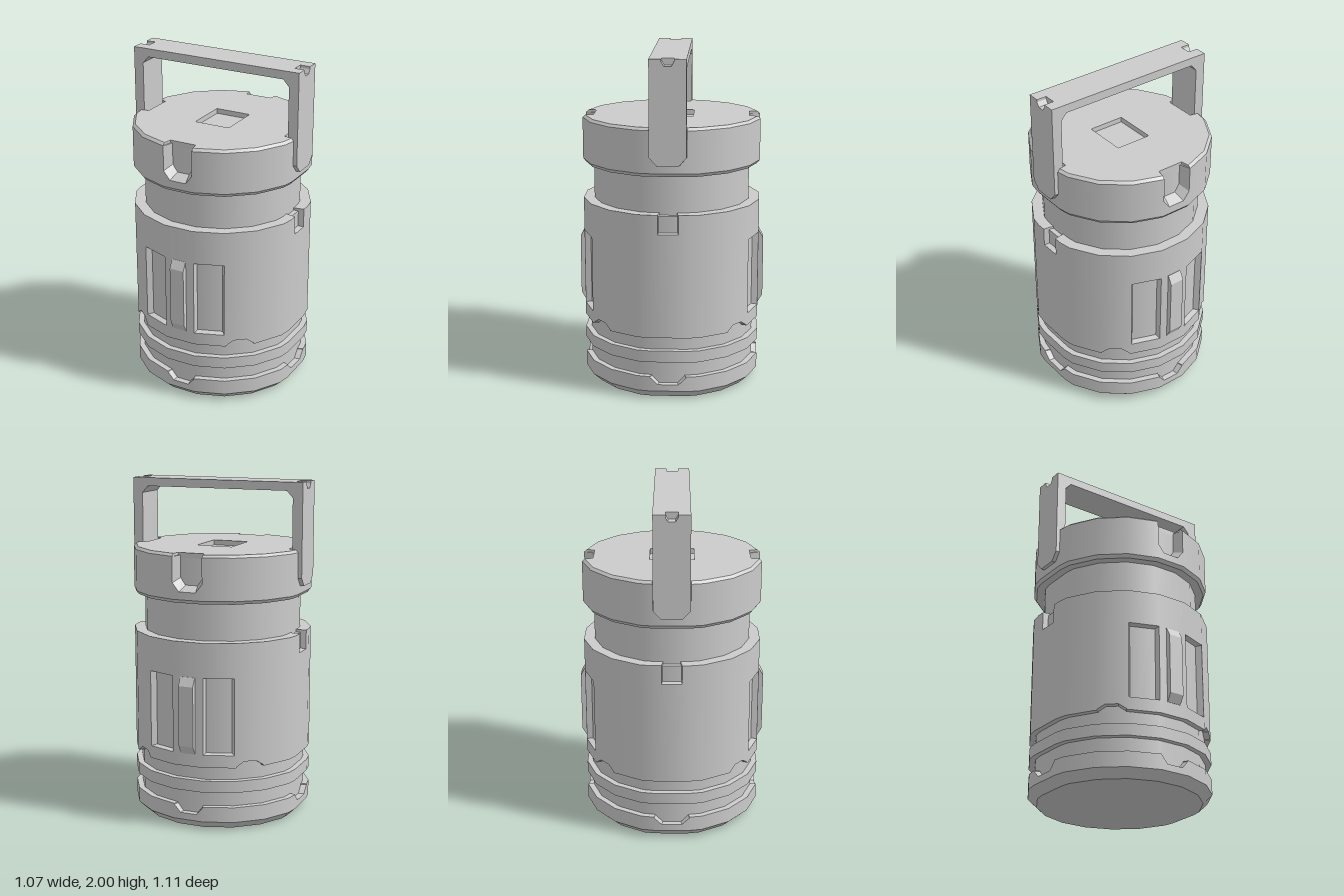
import * as THREE from 'three';
import { mergeGeometries } from 'three/addons/utils/BufferGeometryUtils.js';

const grey = new THREE.MeshStandardMaterial({ color: 0xcccccc });

// Unit cross-section: 18-sided, with the two side corners cut flat (20 facets).
// Facet 0 is the front, 5 the left side, 10 the back, 15 the right side.
const SECTION = [];
for (let k = 0; k < 18; k++) {
  const a = THREE.MathUtils.degToRad(-10 + 20 * k);
  const x = Math.sin(a), z = Math.cos(a);
  if (Math.abs(x) > 0.99) {
    const s = Math.sign(x);
    SECTION.push([s * 0.964, s * 0.206], [s * 0.964, -s * 0.206]);
  } else SECTION.push([x, z]);
}
const N = SECTION.length;

const shapeOf = pts => new THREE.Shape(pts.map(p => new THREE.Vector2(...p)));

// Cuts in a facet: u runs from -1 to 1 across it; the floor is reduced by k around (0, cy)
const notch = (edge, mid, floor, w, wFloor, k = 0.85) => ({
  pts: [[-w, edge], [-w, mid], [-wFloor, floor], [wFloor, floor], [w, mid], [w, edge]], cy: edge, k,
});
const windowCut = (y0, y1, w, k) => ({
  hole: true, pts: [[-w, y0], [w, y0], [w, y1], [-w, y1]], cy: (y0 + y1) / 2, k,
});

// One facet of a band, extruded outward and mitred to its neighbours
function panel(i, y0, y1, rIn, r0, r1, cut) {
  let outline = [[-1, y0], [1, y0], [1, y1], [-1, y1]];
  if (cut && !cut.hole) {
    outline = cut.cy === y0
      ? [[-1, y0], ...cut.pts, [1, y0], [1, y1], [-1, y1]]
      : [[-1, y0], [1, y0], [1, y1], ...[...cut.pts].reverse(), [-1, y1]];
  }
  const shape = shapeOf(outline);
  if (cut && cut.hole) shape.holes.push(shapeOf(cut.pts));
  const geo = new THREE.ExtrudeGeometry(shape, { depth: 1, bevelEnabled: false });
  const pos = geo.attributes.position;
  const outer = Array.from({ length: pos.count }, (_, j) => geo.attributes.normal.getZ(j) > 0.9);
  const us = [];
  const [ax, az] = SECTION[i], [bx, bz] = SECTION[(i + 1) % N];
  for (let j = 0; j < pos.count; j++) {
    let u = pos.getX(j), y = pos.getY(j);
    const d = pos.getZ(j);
    const onCut = cut && cut.pts.some(p => Math.abs(p[0] - u) < 1e-4 && Math.abs(p[1] - y) < 1e-4);
    if (onCut && d < 0.5) {
      u *= cut.k;
      y = cut.cy + (y - cut.cy) * (cut.hole ? 0.95 : cut.k);
    }
    const t = (u + 1) / 2;
    const r = rIn + (r0 + (r1 - r0) * (y - y0) / (y1 - y0) - rIn) * d;
    pos.setXYZ(j, (ax + (bx - ax) * t) * r, y, (az + (bz - az) * t) * r);
    us.push(t);
  }
  geo.computeVertexNormals();
  // Smooth the outer skin around the body
  const n = new THREE.Vector3();
  for (let j = 0; j < pos.count; j++) {
    if (!outer[j]) continue;
    n.set(ax + (bx - ax) * us[j], 0, az + (bz - az) * us[j]).normalize();
    n.y = (r0 - r1) / (y1 - y0);
    n.normalize();
    geo.attributes.normal.setXYZ(j, n.x, n.y, n.z);
  }
  return geo;
}

// A full band; cuts maps a facet number to its cut, or to 'none' to leave it out
function band(name, y0, y1, rIn, r0, r1, cuts = {}) {
  const parts = [];
  for (let i = 0; i < N; i++) {
    if (cuts[i] !== 'none') parts.push(panel(i, y0, y1, rIn, r0, r1, cuts[i]));
  }
  const mesh = new THREE.Mesh(mergeGeometries(parts), grey);
  mesh.name = name;
  return mesh;
}

const onFacets = (ids, cut) => Object.fromEntries(ids.map(i => [i, cut]));

// Profile in (z, y), extruded along x and centred on the given x
function sideExtrude(name, pts, width, x) {
  const geo = new THREE.ExtrudeGeometry(shapeOf(pts), { depth: width, bevelEnabled: false });
  geo.translate(0, 0, -width / 2);
  geo.rotateY(-Math.PI / 2);
  geo.translate(x, 0, 0);
  const mesh = new THREE.Mesh(geo, grey);
  mesh.name = name;
  return mesh;
}

export function createModel() {
  const model = new THREE.Group();
  model.name = 'lantern';
  const R = 0.533, CORE = 0.498, NECK = 0.468;
  const axes = [0, 5, 10, 15], sides = [5, 15];

  // Base and grooved lower rings
  model.add(band('baseChamfer', 0, 0.05, 0, 0.48, R));
  model.add(band('bodyCore', 0.05, 1.1, 0, CORE, CORE));
  model.add(band('baseRing', 0.05, 0.14, CORE, R, R,
    onFacets(axes, notch(0.14, 0.135, 0.09, 0.97, 0.55, 0.97))));
  model.add(band('middleRing', 0.23, 0.3, CORE, R, R));

  // Main shell with grip windows, side notches and a scalloped lower edge
  model.add(band('bodyShell', 0.38, 1.115, NECK, R, R, {
    ...onFacets([1, 9, 11, 19], windowCut(0.455, 0.91, 0.97, 0.78)),
    ...onFacets([2, 8, 12, 18], notch(0.38, 0.385, 0.415, 0.9, 0.4, 0.95)),
    ...onFacets(sides, notch(1.115, 1.05, 1.0, 0.54, 0.54, 0.95)),
  }));

  // Neck and lid
  model.add(band('neck', 1.1, 1.585, 0, NECK, NECK));
  model.add(band('lidLowerChamfer', 1.335, 1.355, NECK, 0.518, R));
  model.add(band('lidShell', 1.355, 1.6, NECK, R, R, {
    ...onFacets([0, 10], notch(1.6, 1.45, 1.4, 0.98, 0.55)),
    ...onFacets(sides, notch(1.6, 1.45, 1.4, 0.98, 0.6, 0.96)),
  }));
  model.add(band('lidTopChamfer', 1.6, 1.615, NECK, R, 0.517, onFacets(axes, 'none')));

  // Lid top plate with a rectangular recess
  const plate = shapeOf(SECTION.map(([x, z]) => [x * NECK, -z * NECK]));
  plate.holes.push(shapeOf([[-0.11, -0.13], [0.11, -0.13], [0.11, 0.13], [-0.11, 0.13]]));
  const plateGeo = new THREE.ExtrudeGeometry(plate, { depth: 0.03, bevelEnabled: false });
  plateGeo.rotateX(-Math.PI / 2);
  const lidPlate = new THREE.Mesh(plateGeo, grey);
  lidPlate.name = 'lidPlate';
  lidPlate.position.y = 1.585;
  model.add(lidPlate);

  // Grip ribs on front and back
  for (const s of [1, -1]) {
    const pts = [[0.49, 0.455], [0.527, 0.455], [0.555, 0.505], [0.555, 0.86], [0.527, 0.91], [0.49, 0.91]];
    model.add(sideExtrude(s > 0 ? 'frontRib' : 'backRib', pts.map(([z, y]) => [s * z, y]), 0.09, 0));
  }

  // Carrying handle: two legs with slotted tops, and a bar with braced corners
  const handle = new THREE.Group();
  handle.name = 'handle';
  const leg = [[-0.06, 1.4], [0.06, 1.4], [0.105, 1.45], [0.105, 2], [0.035, 2], [0.035, 1.985],
    [0.02, 1.96], [-0.02, 1.96], [-0.035, 1.985], [-0.035, 2], [-0.105, 2], [-0.105, 1.45]];
  for (const s of [1, -1]) {
    handle.add(sideExtrude(s > 0 ? 'leftLeg' : 'rightLeg', leg, 0.06, s * 0.506));
  }
  const barGeo = new THREE.ExtrudeGeometry(
    shapeOf([[-0.476, 1.91], [-0.44, 1.95], [0.44, 1.95], [0.476, 1.91], [0.476, 2], [-0.476, 2]]),
    { depth: 0.21, bevelEnabled: false });
  barGeo.translate(0, 0, -0.105);
  const bar = new THREE.Mesh(barGeo, grey);
  bar.name = 'handleBar';
  handle.add(bar);
  model.add(handle);
  return model;
}
